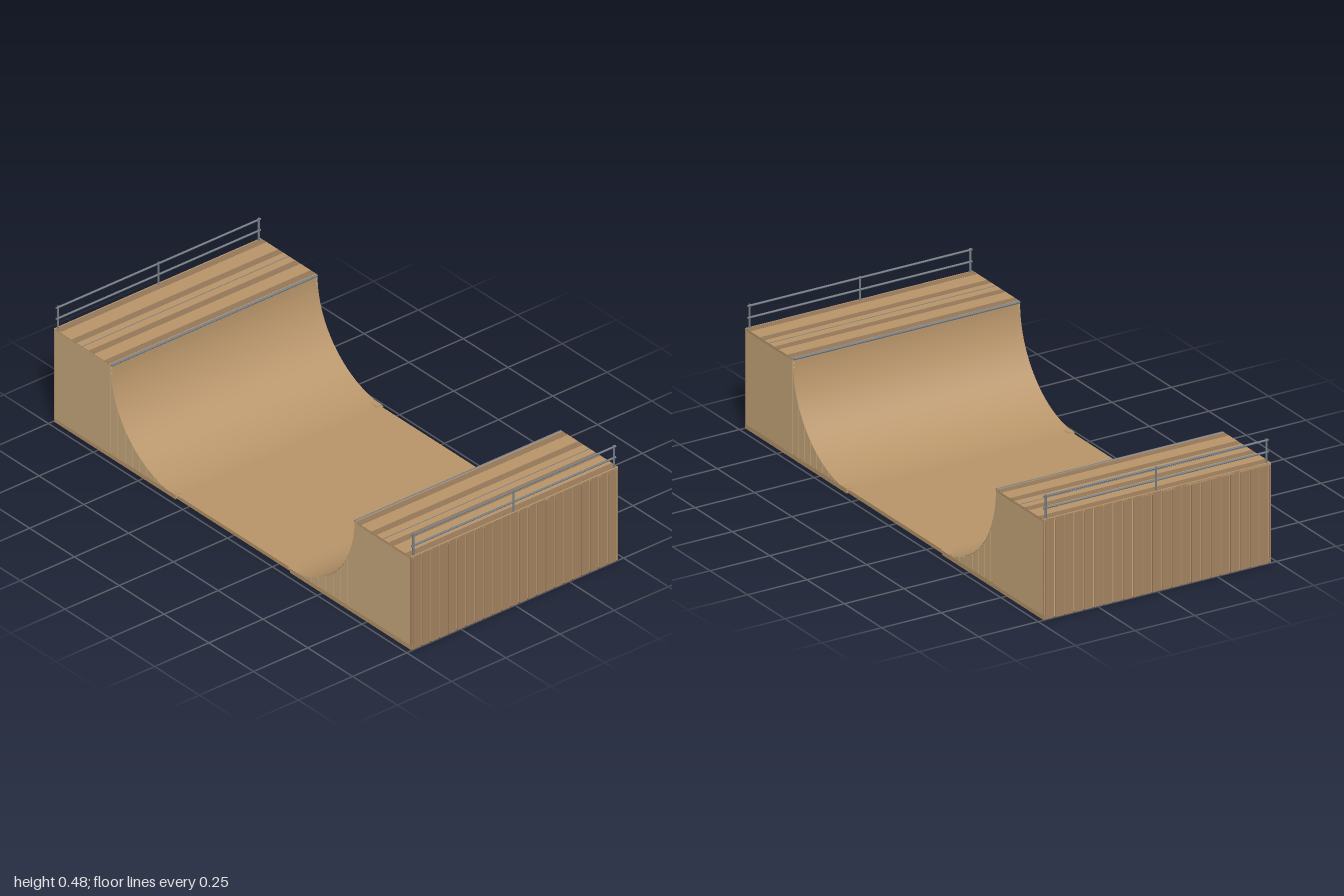
import * as THREE from 'three';

const mat = (color) => new THREE.MeshStandardMaterial({ color });
const wood = mat(0xb8956a), plank = mat(0xa58360), pale = mat(0xc9a97c), dark = mat(0x96785a), steel = mat(0x757d84);

const W = 0.477;               // half width of the ramp
const Z0 = 0.31, R = 0.37;     // start and radius of the transition
const Z1 = Z0 + R, TOP = 0.39; // lip and deck height
const BASE = 0.015;

function add(parent, name, geometry, material, x = 0, y = 0, z = 0) {
  const mesh = new THREE.Mesh(geometry, material);
  mesh.name = name;
  mesh.position.set(x, y, z);
  parent.add(mesh);
  return mesh;
}

// box given by its minimum and maximum corners
function box(parent, name, material, a, b) {
  const s = a.map((v, i) => b[i] - v), c = a.map((v, i) => (v + b[i]) / 2);
  return add(parent, name, new THREE.BoxGeometry(...s), material, ...c);
}

function rod(parent, name, radius, length, alongX, x, y, z) {
  const m = add(parent, name, new THREE.CylinderGeometry(radius, radius, length, 12), steel, x, y, z);
  if (alongX) m.rotation.z = Math.PI / 2;
}

// height of the riding surface at z
const curveY = (z) => BASE + R - Math.sqrt(Math.max(0, R * R - (z - Z0) ** 2));

// extrude a (z, y) outline across x, centred on x
function slab(parent, name, material, points, x, width) {
  const shape = new THREE.Shape(points.map(([z, y]) => new THREE.Vector2(-z, y)));
  const g = new THREE.ExtrudeGeometry(shape, { depth: width, bevelEnabled: false });
  g.translate(0, 0, -width / 2).rotateY(Math.PI / 2);
  return add(parent, name, g, material, x);
}

// points along the transition between two z values, lowered by drop
function arc(za, zb, n, drop) {
  const a0 = Math.asin((za - Z0) / R), a1 = Math.asin(Math.min(1, (zb - Z0) / R));
  return Array.from({ length: n + 1 }, (_, i) => {
    const z = Z0 + R * Math.sin(a0 + (a1 - a0) * i / n);
    return [z, Math.max(BASE * 0.5, curveY(z) - drop)];
  });
}

// smooth curved sheet swept across the width, with normals from the arc
function ridingSurface(parent) {
  const g = new THREE.CylinderGeometry(R, R, 2 * W, 40, 1, true, 0, Math.PI / 2);
  g.rotateZ(Math.PI / 2);
  const p = g.attributes.position, n = g.attributes.normal;
  for (let i = 0; i < p.count; i++) {
    const z = Math.abs(p.getZ(i)), y = -Math.abs(p.getY(i));
    p.setXYZ(i, p.getX(i), y + BASE + R, z + Z0);
    n.setXYZ(i, 0, y / R, z / R);
  }
  const m = wood.clone();
  m.side = THREE.DoubleSide;
  // wind every triangle so its front matches the outward arc normal
  const idx = g.index, v = [0, 1, 2].map(() => new THREE.Vector3()), nn = new THREE.Vector3();
  for (let t = 0; t < idx.count; t += 3) {
    v.forEach((q, k) => q.fromBufferAttribute(p, idx.getX(t + k)));
    nn.fromBufferAttribute(n, idx.getX(t));
    const face = v[1].clone().sub(v[0]).cross(v[2].clone().sub(v[0]));
    if (face.dot(nn) > 0) {
      const b = idx.getX(t + 1);
      idx.setX(t + 1, idx.getX(t + 2));
      idx.setX(t + 2, b);
    }
  }
  for (let i = 0; i < n.count; i++) n.setXYZ(i, 0, -n.getY(i), -n.getZ(i));
  add(parent, 'ridingSurface', g, m);
}

function quarterPipe() {
  const q = new THREE.Group();
  q.name = 'quarterPipe';
  ridingSurface(q);

  // ribs under the transition
  const ribs = 19;
  for (let i = 0; i < ribs; i++) {
    const x = -0.466 + 0.932 * i / (ribs - 1);
    slab(q, 'rib', wood, [...arc(0.36, Z1 - 0.003, 20, 0.004), [Z1 - 0.003, BASE], [0.36, BASE]], x, 0.008);
  }

  for (const s of [-1, 1]) {
    // upright boards closing the side of the transition
    for (let z = Z1; z > 0.38; z -= 0.0405) {
      const a = z - 0.0375;
      slab(q, 'sideBoard', pale, [...arc(a, z, 8, 0.001), [z, BASE], [a, BASE]], s * (W - 0.004), 0.007);
    }
    // side wall of the platform
    box(q, 'sidePanel', pale, [s * (W - 0.003) - 0.003, BASE, Z1], [s * (W - 0.003) + 0.003, TOP - 0.003, 0.993]);
    // bottom rail
    box(q, 'sideRail', wood, [s * (W - 0.012) - 0.012, 0, 0.32], [s * (W - 0.012) + 0.012, BASE + 0.003, 0.995]);
  }
  box(q, 'endRail', wood, [-W, 0, 0.975], [W, BASE, 0.993]);

  // end wall: backing with upright boards
  box(q, 'endPanel', pale, [-W, 0.002, 0.985], [W, TOP - 0.003, 0.994]);
  const pitch = 0.0409;
  for (let i = -12; i <= 12; i++) {
    const lo = Math.max(-W, i * pitch - 0.0178), hi = Math.min(W, i * pitch + 0.0178);
    if (hi - lo > 0.002) box(q, 'endBoard', plank, [lo, 0, 0.99], [hi, TOP - 0.002, 0.998]);
  }

  // deck with darker strips and a centre joint
  box(q, 'deck', wood, [-W, TOP - 0.01, Z1], [W, TOP, 0.998]);
  for (const z of [0.703, 0.789, 0.885, 0.978])
    box(q, 'deckStrip', dark, [-W + 0.001, TOP - 0.004, z - 0.014], [W - 0.001, TOP + 0.0008, z + 0.014]);
  box(q, 'deckJoint', steel, [-W + 0.001, TOP - 0.004, 0.838], [W - 0.001, TOP + 0.0008, 0.841]);

  rod(q, 'coping', 0.005, 2 * W - 0.004, true, 0, TOP - 0.003, Z1);

  // guard rail
  for (const x of [-0.463, 0, 0.463]) rod(q, 'railPost', 0.004, 0.095, false, x, TOP + 0.0445, 0.991);
  for (const y of [0.43, 0.476]) rod(q, 'guardRail', 0.004, 0.942, true, 0, y, 0.991);
  return q;
}

export function createModel() {
  const model = new THREE.Group();
  model.name = 'halfPipe';
  box(model, 'flatBottom', wood, [-0.47, 0, -0.32], [0.47, BASE, 0.32]);
  const front = quarterPipe(), back = quarterPipe();
  back.rotation.y = Math.PI;
  model.add(front, back);
  return model;
}
